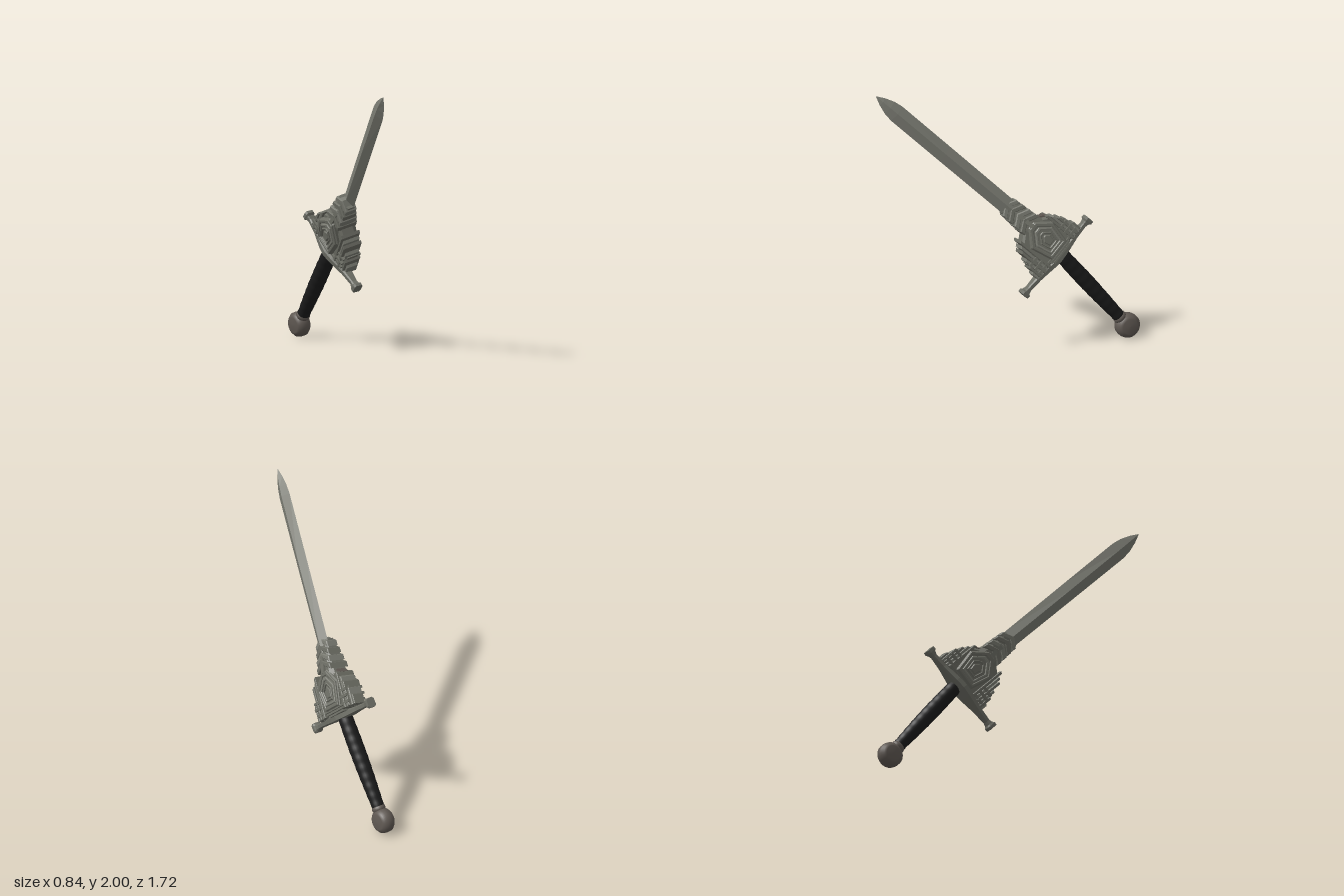
import * as THREE from 'three';

const mat = (name, color) => Object.assign(new THREE.MeshStandardMaterial({ color }), { name });

// Skin closed loops of points (right-handed about the path) into a flat-faced solid
function loft(sections) {
  const n = sections[0].length, pos = sections.flat(2), idx = [];
  for (let i = 0; i < sections.length - 1; i++)
    for (let j = 0; j < n; j++) {
      const a = i * n + j, b = i * n + (j + 1) % n;
      idx.push(a, b, b + n, a, b + n, a + n);
    }
  const last = (sections.length - 1) * n;
  for (let j = 1; j < n - 1; j++) idx.push(0, j + 1, j, last, last + j, last + j + 1);
  const g = new THREE.BufferGeometry();
  g.setAttribute('position', new THREE.Float32BufferAttribute(pos, 3));
  g.setIndex(idx);
  const flat = g.toNonIndexed();
  flat.computeVertexNormals();
  return flat;
}

const outline = (pts, s = 1) => pts.map(([x, y]) => new THREE.Vector2(x * s, y * s));

// Bevelled plate centred on z = 0, with an optional hole
function plate(points, depth, bevel = 0.006, hole) {
  const shape = new THREE.Shape(points);
  if (hole) shape.holes.push(new THREE.Path(hole));
  const g = new THREE.ExtrudeGeometry(shape, {
    depth: depth - 2 * bevel, bevelEnabled: true, bevelSize: bevel, bevelOffset: -bevel,
    bevelThickness: bevel, bevelSegments: 1,
  });
  return g.translate(0, 0, -depth / 2 + bevel);
}

export function createModel() {
  const steel = mat('bladeSteel', 0x7b7c73);
  const iron = mat('guardIron', 0x6d6e65);
  const bronze = mat('pommelBronze', 0x5f5852);
  const leather = mat('gripLeather', 0x1b1b1b);

  const add = (parent, name, geo, material, x = 0, y = 0, z = 0) => {
    const m = new THREE.Mesh(geo, material);
    m.name = name;
    m.position.set(x, y, z);
    parent.add(m);
    return m;
  };

  // Local frame: y along the sword, x along the guard, z out of the flat
  const joint = new THREE.Vector3(0.183, 0.85, -0.19);
  const across = new THREE.Vector3(0.048, 0.66, -0.75);
  const frame = (name, dir) => {
    const y = dir.clone().normalize();
    const z = across.clone().cross(y).normalize();
    const x = y.clone().cross(z);
    const g = new THREE.Group();
    g.name = name;
    g.quaternion.setFromRotationMatrix(new THREE.Matrix4().makeBasis(x, y, z));
    g.position.copy(joint);
    return g;
  };
  const upper = frame('bladeAssembly', new THREE.Vector3(-0.603, 1.15, 1.05));
  const hilt = frame('hilt', new THREE.Vector3(-0.172, 0.755, 0.58));
  const body = new THREE.Group();
  body.name = 'ornamentBody';
  body.position.z = -0.022;
  upper.add(body);
  const model = new THREE.Group();
  model.name = 'sword';
  model.add(upper, hilt);

  // Blade: diamond section, [height, half width, half thickness]
  const blade = [[0.1, 0.062, 0.034], [0.4, 0.062, 0.034], [1.0, 0.064, 0.032], [1.47, 0.065, 0.028],
    [1.54, 0.055, 0.024], [1.61, 0.032, 0.016], [1.672, 0.002, 0.001]]
    .map(([y, w, t]) => [[0, y, t], [w, y, 0], [0, y, -t], [-w, y, 0]]);
  add(upper, 'blade', loft(blade), steel);

  // Collar at the blade root, thicker towards the body
  const collar = [[0.08, 0.095, 0.08], [0.22, 0.076, 0.066], [0.33, 0.07, 0.047], [0.385, 0.064, 0.036]]
    .map(([y, w, t]) => [[w, y, t * 0.7], [w, y, -t * 0.7], [w * 0.6, y, -t], [-w * 0.6, y, -t],
      [-w, y, -t * 0.7], [-w, y, t * 0.7], [-w * 0.6, y, t], [w * 0.6, y, t]]);
  add(body, 'collar', loft(collar), iron);

  // Chevron bands around the collar
  for (let i = 0; i < 4; i++) {
    const y = 0.19 + i * 0.055, w = 0.084 - i * 0.003, d = 0.16 - i * 0.023;
    add(body, 'collarBand', plate(outline([[-w, y - 0.03], [0, y + 0.015], [w, y - 0.03],
      [w, y + 0.01], [0, y + 0.055], [-w, y + 0.01]]), d), i % 2 ? steel : iron);
  }

  // Core of the body between the blade and the guard
  add(body, 'bodyCore', plate(outline([[-0.17, -0.14], [0.15, -0.14], [0.13, 0.1], [0.07, 0.15],
    [-0.07, 0.17], [-0.15, 0.12]]), 0.12, 0.015), iron);

  // Concentric pointed shields on both faces
  const shield = [[-0.095, -0.115], [0.08, -0.115], [0.12, 0.06], [0.03, 0.17],
    [-0.03, 0.17], [-0.13, 0.06]];
  for (const side of [1, -1]) {
    const lift = side > 0 ? 0.084 : 0.09;
    add(body, 'shieldBase', plate(outline(shield), 0.03, 0.008), iron, 0, 0, side * (lift - 0.018));
    [1, 0.74, 0.48].forEach((s, i) => add(body, 'shieldRing',
      plate(outline(shield, s * 0.94), 0.018, 0.004, outline(shield, s * 0.76)),
      i === 1 ? steel : iron, 0, 0, side * (lift + i * 0.002)));
    add(body, 'shieldBoss', plate(outline(shield, 0.27), 0.022, 0.005), iron, 0, 0, side * lift);

    // Ridge from shield to collar
    const ridge = add(body, 'ridge', new THREE.BoxGeometry(0.03, 0.14, 0.02), iron, 0, 0.22, side * 0.07);
    ridge.rotation.x = -side * 0.2;

    // Short cross ribs below the shield
    for (let i = 0; i < 3; i++)
      add(body, 'lowerRib', new THREE.BoxGeometry(0.24 - i * 0.03, 0.014, 0.13 - i * 0.01), iron,
        -0.01, -0.115 - i * 0.018, side * 0.01);

    // Bronze insert on each shoulder of the core
    const insert = add(body, 'shoulderInsert', new THREE.BoxGeometry(0.06, 0.012, 0.07), bronze,
      side * 0.107 - 0.006, 0.132, 0);
    insert.rotation.z = -side * 0.66;
  }

  // Stepped bars forming a wing on each side; [distance out, top, depth]
  const wings = [
    [1, [[0.125, 0.125, 0.15], [0.148, 0.085, 0.13], [0.17, 0.045, 0.14], [0.19, -0.01, 0.11],
      [0.207, -0.065, 0.095]]],
    [-1, [[0.14, 0.16, 0.155], [0.165, 0.125, 0.135], [0.19, 0.1, 0.15], [0.213, 0.035, 0.115],
      [0.234, -0.02, 0.125], [0.252, -0.07, 0.09]]],
  ];
  for (const [s, bars] of wings) {
    bars.forEach(([x, top, depth], i) => {
      const h = top + 0.145;
      const bar = outline([[-0.01, -h / 2], [0.01, -h / 2], [s * 0.01, h / 2 - 0.012], [s * -0.01, h / 2]]);
      if (s < 0) bar.splice(2, 2, bar[3], bar[2]);
      add(body, 'wingBar', plate(bar, depth, 0.004), i % 2 ? steel : iron, s * x, top - h / 2, 0);
    });
    const mid = s > 0 ? 0.15 : 0.185;
    add(body, 'wingCore', new THREE.BoxGeometry(0.09, 0.14, 0.085), iron, s * mid, -0.07, 0);
    // Small blocks standing on the wing faces
    for (const f of [1, -1])
      for (let i = 0; i < 3; i++)
        add(body, 'wingBlock', new THREE.BoxGeometry(0.08, 0.018, 0.02), iron,
          s * mid, -0.11 + i * 0.045, f * (0.064 + (i % 2) * 0.006));
  }

  // Cross guard: wide in the middle, flared at the ends; [distance out, half height, half depth]
  const arm = [[0, 0.028, 0.08], [0.07, 0.027, 0.07], [0.2, 0.02, 0.038], [0.3, 0.018, 0.025],
    [0.325, 0.024, 0.03], [0.338, 0.037, 0.036], [0.36, 0.035, 0.034]];
  const stations = [...arm.slice(1).reverse().map(([x, h, d]) => [-x, h, d]), ...arm];
  const guard = stations.map(([x, h, d]) => [[x, h, d * 0.7], [x, h * 0.6, d], [x, -h * 0.6, d],
    [x, -h, d * 0.7], [x, -h, -d * 0.7], [x, -h * 0.6, -d], [x, h * 0.6, -d], [x, h, -d * 0.7]]);
  add(hilt, 'crossGuard', loft(guard), iron, -0.035, -0.17, -0.02).rotation.z = 0.057;

  // Grip: gently swelling, with faint wrapped ridges
  const grip = [];
  for (let i = 0; i <= 56; i++) {
    const t = i / 56;
    const r = 0.043 + 0.014 * Math.sin(Math.PI * Math.min(1, t * 0.75 + 0.02)) + 0.001 * Math.sin(i * 1.1);
    grip.push(new THREE.Vector2(r, -0.87 + t * 0.69));
  }
  add(hilt, 'grip', new THREE.LatheGeometry(grip, 24), leather);

  // Neck ring and disc pommel
  const neck = [[0.04, -0.9], [0.05, -0.885], [0.05, -0.87], [0.04, -0.855]];
  add(hilt, 'pommelNeck', new THREE.LatheGeometry(outline(neck), 24), bronze);
  const disc = [[0, -0.06], [0.055, -0.058], [0.066, -0.048], [0.072, -0.046], [0.088, -0.028],
    [0.091, 0], [0.088, 0.028], [0.072, 0.046], [0.066, 0.048], [0.055, 0.058], [0, 0.06]];
  add(hilt, 'pommel', new THREE.LatheGeometry(outline(disc), 32), bronze, 0, -0.969, 0)
    .rotation.x = Math.PI / 2;

  return model;
}
